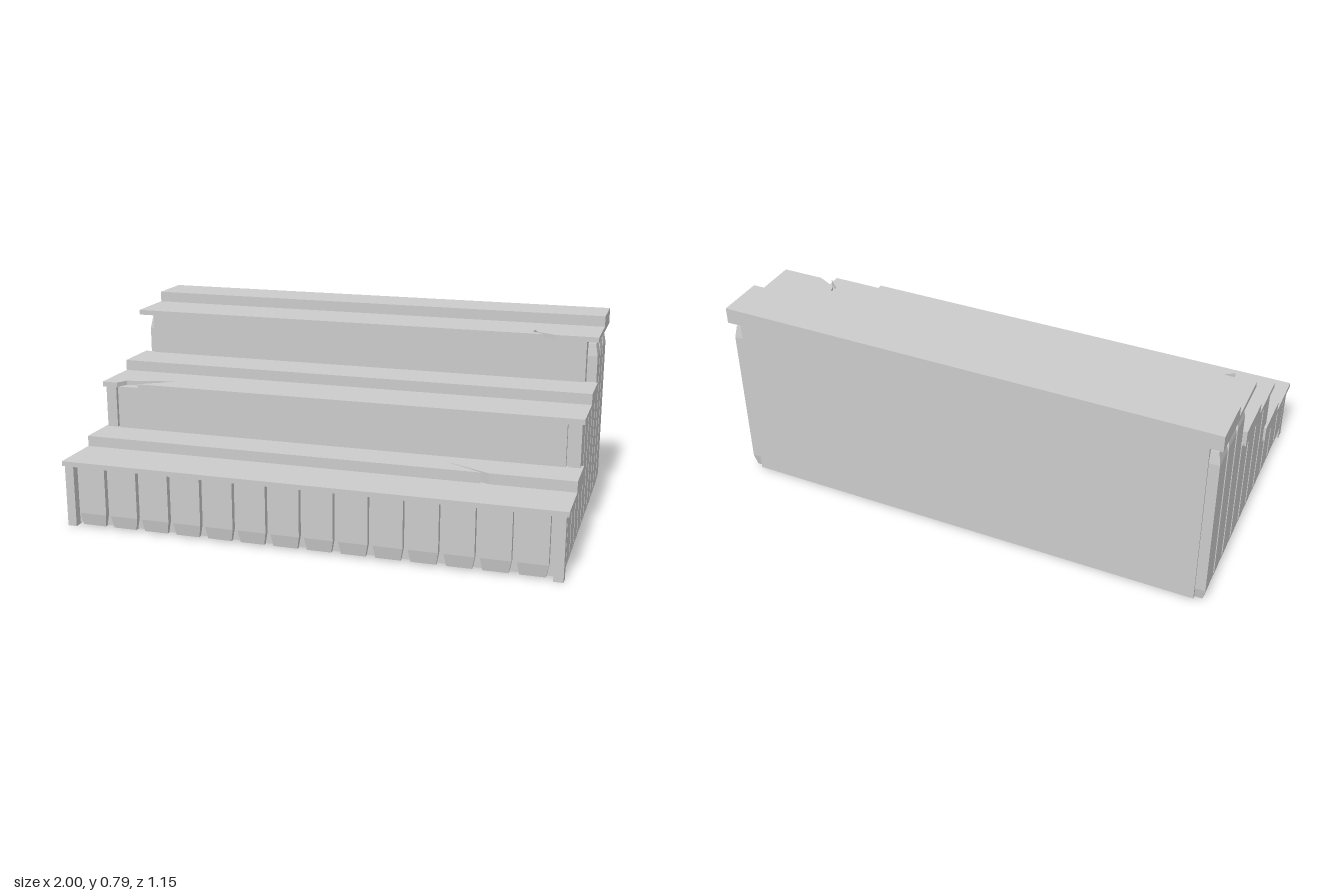
import * as THREE from 'three';

const material = new THREE.MeshStandardMaterial({ color: 0xcccccc, flatShading: true });

function add(parent, name, geometry) {
  const mesh = new THREE.Mesh(geometry, material);
  mesh.name = name;
  parent.add(mesh);
  return mesh;
}

// Box given by its limits on each axis
function block(parent, name, [x0, x1], [y0, y1], [z0, z1]) {
  const mesh = add(parent, name, new THREE.BoxGeometry(x1 - x0, y1 - y0, z1 - z0));
  mesh.position.set((x0 + x1) / 2, (y0 + y1) / 2, (z0 + z1) / 2);
  return mesh;
}

// Upright plank facing +z, back at z = 0, with its ends tapered
function plankGeometry(width, y0, y1, depth, taperTop) {
  const geometry = new THREE.BoxGeometry(width, 1, depth, 1, 3, 1);
  const p = geometry.attributes.position;
  const levels = [y0, y0 + 0.05, y1 - 0.05, y1];
  for (let i = 0; i < p.count; i++) {
    const level = Math.round((p.getY(i) + 0.5) * 3);
    const tapered = level === 0 || (level === 3 && taperTop);
    const inset = tapered ? 0.009 : 0;
    const x = p.getX(i), outer = p.getZ(i) > 0;
    p.setXYZ(i, x - Math.sign(x) * inset, levels[level], outer ? depth - inset : 0);
  }
  geometry.computeVertexNormals();
  return geometry;
}

// Flat board from x = -1 to 1; notch points [x, z] cut into the front edge
function board(parent, name, y0, y1, zFront, zBack, notch = []) {
  const outline = [[-1, zFront], ...notch, [1, zFront], [1, zBack], [-1, zBack]];
  const shape = new THREE.Shape(outline.map(([x, z]) => new THREE.Vector2(x, -z)));
  const geometry = new THREE.ExtrudeGeometry(shape, { depth: y1 - y0, bevelEnabled: false });
  geometry.rotateX(-Math.PI / 2);
  add(parent, name, geometry).position.y = y0;
}

export function createModel() {
  const model = new THREE.Group();
  model.name = 'steppedStand';

  // Solid stepped core
  const profile = [
    [0.545, 0.01], [0.545, 0.255], [0.18, 0.255], [0.18, 0.49],
    [-0.195, 0.49], [-0.195, 0.73], [-0.565, 0.73], [-0.565, 0.01],
  ];
  const coreShape = new THREE.Shape(profile.map(([z, y]) => new THREE.Vector2(-z, y)));
  const coreGeometry = new THREE.ExtrudeGeometry(coreShape, { depth: 1.9, bevelEnabled: false });
  coreGeometry.translate(0, 0, -0.95).rotateY(Math.PI / 2);
  add(model, 'core', coreGeometry);
  block(model, 'middleRiser', [-0.935, 0.935], [0.25, 0.49], [0.17, 0.2]);

  // Treads: a thin front board and a raised rear board, with a few splits
  const treads = [
    { y: [0.25, 0.27, 0.313], z: [0.575, 0.357, 0.162], low: [],
      high: [[0.64, 0.357], [0.48, 0.26], [0.67, 0.357]] },
    { y: [0.487, 0.508, 0.552], z: [0.208, -0.012, -0.207],
      low: [[-0.935, 0.208], [-0.91, 0.165], [-0.7, 0.115], [-0.84, 0.208]], high: [] },
    { y: [0.725, 0.746, 0.79], z: [-0.16, -0.382, -0.575],
      low: [[0.78, -0.16], [0.73, -0.205], [0.737, -0.237], [0.75, -0.2], [0.83, -0.16]], high: [] },
  ];
  treads.forEach(({ y, z, low, high }, i) => {
    const tread = new THREE.Group();
    tread.name = `tread${i + 1}`;
    board(tread, 'treadFront', y[0], y[1], z[0], z[2], low);
    board(tread, 'treadRear', y[1], y[2], z[1], z[2], high);
    model.add(tread);
  });

  // Front planks
  const count = 14, pitch = 1.89 / count;
  for (let i = 0; i < count; i++) {
    const plank = add(model, 'frontPlank', plankGeometry(pitch - 0.02, 0.008, 0.252, 0.027, false));
    plank.position.set((i - (count - 1) / 2) * pitch, 0, 0.542);
  }

  // Side planks rising with the tiers, and front corner posts
  const tops = [0.252, 0.252, 0.252, 0.488, 0.488, 0.488, 0.5, 0.7, 0.7, 0.7];
  for (const side of [-1, 1]) {
    tops.forEach((top, i) => {
      const plank = add(model, 'sidePlank', plankGeometry(0.094, 0.008, top, 0.045, i > 6));
      plank.position.set(side * 0.945, 0, 0.48 - i * 0.1101);
      plank.rotation.y = side * Math.PI / 2;
    });
    const x = [side * 0.953, side * 0.99].sort((a, b) => a - b);
    block(model, 'cornerPost', x, [0, 0.252], [0.533, 0.572]);
  }
  return model;
}
